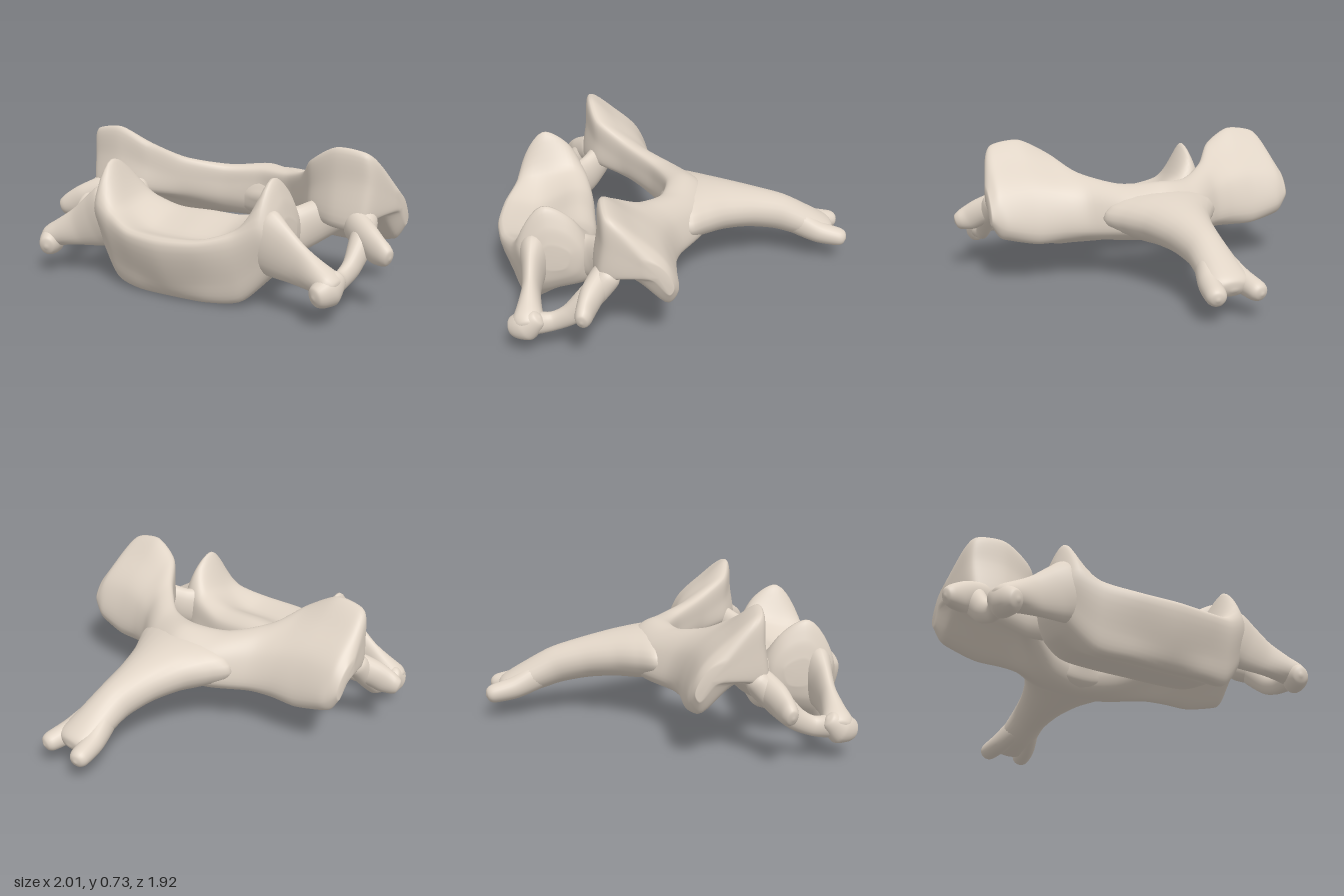
import * as THREE from 'three';

const material = new THREE.MeshStandardMaterial({ color: 0xdfd3c5 });
const V = (x, y, z) => new THREE.Vector3(x, y, z);

// Smooth closed skin through a row of rings, each an equal-length list of Vector3.
function loft(name, rings, around = 40, steps = 6) {
  const fine = rings.map((r) => {
    const c = new THREE.CatmullRomCurve3(r, true, 'centripetal');
    return Array.from({ length: around }, (_, i) => c.getPoint(i / around));
  });
  const rows = (rings.length - 1) * steps + 1;
  const pos = [];
  const columns = Array.from({ length: around }, (_, i) =>
    new THREE.CatmullRomCurve3(fine.map((r) => r[i]), false, 'catmullrom', 0.4));
  for (let j = 0; j < rows; j++) {
    for (const c of columns) pos.push(...c.getPoint(j / (rows - 1)).toArray());
  }
  const mean = (r) => r.reduce((a, p) => a.add(p), V(0, 0, 0)).divideScalar(r.length);
  pos.push(...mean(fine[0]).toArray(), ...mean(fine[fine.length - 1]).toArray());

  const idx = [];
  const first = rows * around, last = first + 1;
  for (let i = 0; i < around; i++) {
    const k = (i + 1) % around;
    for (let j = 0; j < rows - 1; j++) {
      const a = j * around + i, b = j * around + k;
      idx.push(a, b, a + around, b, b + around, a + around);
    }
    idx.push(first, k, i);
    idx.push(last, (rows - 1) * around + i, (rows - 1) * around + k);
  }
  // Turn the faces outward if the enclosed volume comes out negative
  const at = (i) => V(pos[3 * i], pos[3 * i + 1], pos[3 * i + 2]);
  let volume = 0;
  for (let i = 0; i < idx.length; i += 3) {
    volume += at(idx[i]).dot(at(idx[i + 1]).cross(at(idx[i + 2])));
  }
  if (volume < 0) idx.reverse();

  const g = new THREE.BufferGeometry();
  g.setAttribute('position', new THREE.Float32BufferAttribute(pos, 3));
  g.setIndex(idx);
  g.computeVertexNormals();
  const mesh = new THREE.Mesh(g, material);
  mesh.name = name;
  return mesh;
}

// Left-right symmetric solid from half its sections: [x, [z, y, z, y, ...]]
function symmetric(name, half) {
  const ring = (x, zy) => {
    const r = [];
    for (let i = 0; i < zy.length; i += 2) r.push(V(x, zy[i + 1], zy[i]));
    return r;
  };
  const sections = [...half.slice(1).reverse().map(([x, p]) => [-x, p]), ...half];
  const rings = sections.map(([x, p]) => ring(x, p));
  return loft(name, rings, 54);
}

// Round-ended bony rod through stations [x, y, z, half width, half height]
function rod(name, stations, side = 1) {
  const c = stations.map(([x, y, z]) => V(x * side, y, z));
  const n = c.length - 1;
  const ring = (i, scale, push) => {
    const d = c[Math.min(i + 1, n)].clone().sub(c[Math.max(i - 1, 0)]).normalize();
    const across = d.clone().cross(V(0, 1, 0)).normalize();
    const up = across.clone().cross(d);
    const [, , , w, h] = stations[i];
    return Array.from({ length: 12 }, (_, k) => {
      const a = (k / 12) * Math.PI * 2;
      return c[i].clone().addScaledVector(d, push * Math.min(w, h))
        .addScaledVector(across, w * scale * Math.cos(a))
        .addScaledVector(up, h * scale * Math.sin(a));
    });
  };
  const rings = [ring(0, 0.12, -0.9), ring(0, 0.7, -0.65)];
  for (let i = 0; i <= n; i++) rings.push(ring(i, 1, 0));
  rings.push(ring(n, 0.7, 0.65), ring(n, 0.12, 0.9));
  return loft(name, rings, 24);
}

export function createModel() {
  const model = new THREE.Group();
  model.name = 'vertebra';

  // Body: dished top, raised hooks at the sides, hollowed underside
  model.add(symmetric('vertebralBody', [
    [0, [0.84, 0.005, 0.91, 0.1, 0.955, 0.31, 0.75, 0.29, 0.53, 0.37, 0.45, 0.33, 0.435, 0.24, 0.45, 0.13, 0.65, 0.1]],
    [0.2, [0.84, 0.01, 0.89, 0.12, 0.93, 0.32, 0.74, 0.3, 0.53, 0.37, 0.45, 0.33, 0.435, 0.24, 0.45, 0.13, 0.65, 0.1]],
    [0.36, [0.8, 0.03, 0.85, 0.15, 0.87, 0.36, 0.72, 0.4, 0.54, 0.42, 0.47, 0.38, 0.45, 0.27, 0.46, 0.14, 0.64, 0.1]],
    [0.47, [0.76, 0.14, 0.81, 0.24, 0.84, 0.41, 0.71, 0.61, 0.58, 0.55, 0.5, 0.42, 0.48, 0.3, 0.5, 0.19, 0.64, 0.15]],
    [0.52, [0.74, 0.22, 0.79, 0.3, 0.8, 0.38, 0.7, 0.52, 0.6, 0.49, 0.53, 0.4, 0.52, 0.32, 0.55, 0.25, 0.64, 0.22]],
    [0.54, [0.7, 0.3, 0.73, 0.34, 0.73, 0.37, 0.69, 0.42, 0.63, 0.41, 0.59, 0.38, 0.59, 0.34, 0.61, 0.3, 0.65, 0.29]],
  ]));

  // Arch: laminae sweeping out into the slanted joint pillars
  model.add(symmetric('archAndJointPillars', [
    [0, [0.04, 0.5, 0.055, 0.42, 0.05, 0.3, 0, 0.23, -0.1, 0.22, -0.2, 0.32, -0.15, 0.46, -0.05, 0.52]],
    [0.2, [0.1, 0.5, 0.11, 0.41, 0.1, 0.32, 0.05, 0.25, -0.05, 0.22, -0.15, 0.29, -0.11, 0.42, 0, 0.5]],
    [0.38, [0.25, 0.555, 0.26, 0.45, 0.24, 0.36, 0.16, 0.29, 0.06, 0.22, 0, 0.27, 0.04, 0.43, 0.14, 0.53]],
    [0.5, [0.39, 0.65, 0.4, 0.52, 0.4, 0.39, 0.27, 0.34, 0.1, 0.21, 0.05, 0.27, 0.1, 0.46, 0.24, 0.58]],
    [0.65, [0.425, 0.73, 0.45, 0.57, 0.46, 0.36, 0.32, 0.37, 0.1, 0.21, 0.065, 0.27, 0.13, 0.48, 0.28, 0.62]],
    [0.8, [0.42, 0.715, 0.44, 0.57, 0.45, 0.35, 0.32, 0.39, 0.12, 0.24, 0.075, 0.3, 0.13, 0.47, 0.27, 0.61]],
    [0.85, [0.38, 0.66, 0.4, 0.55, 0.39, 0.41, 0.29, 0.4, 0.13, 0.26, 0.09, 0.32, 0.13, 0.46, 0.25, 0.58]],
    [0.895, [0.24, 0.5, 0.24, 0.47, 0.23, 0.43, 0.19, 0.4, 0.13, 0.33, 0.11, 0.36, 0.13, 0.42, 0.18, 0.48]],
  ]));

  // Rear spine with its forked tip
  model.add(rod('rearSpine', [
    [0, 0.35, -0.04, 0.33, 0.13],
    [0, 0.345, -0.14, 0.27, 0.135],
    [0, 0.335, -0.26, 0.195, 0.125],
    [0, 0.31, -0.42, 0.135, 0.11],
    [0, 0.27, -0.58, 0.105, 0.1],
    [0, 0.21, -0.72, 0.11, 0.085],
    [0, 0.165, -0.84, 0.115, 0.06],
  ]));

  for (const side of [1, -1]) {
    const prefix = side > 0 ? 'left' : 'right';
    const add = (name, stations) => model.add(rod(prefix + name, stations, side));

    add('SpineTip', [
      [0.05, 0.22, -0.68, 0.05, 0.07],
      [0.085, 0.165, -0.8, 0.055, 0.06],
      [0.108, 0.14, -0.91, 0.052, 0.05],
    ]);
    // Bridge from the body back to the joint pillar
    add('Pedicle', [
      [0.42, 0.31, 0.54, 0.06, 0.12],
      [0.49, 0.33, 0.46, 0.055, 0.11],
      [0.56, 0.37, 0.4, 0.06, 0.1],
      [0.66, 0.42, 0.34, 0.06, 0.08],
    ]);
    // Ring of bone around the side opening
    add('FrontBar', [
      [0.46, 0.33, 0.75, 0.08, 0.16],
      [0.55, 0.29, 0.765, 0.055, 0.135],
      [0.65, 0.25, 0.775, 0.045, 0.1],
      [0.75, 0.215, 0.785, 0.06, 0.075],
      [0.82, 0.19, 0.79, 0.075, 0.06],
    ]);
    add('FrontTubercle', [
      [0.835, 0.2, 0.76, 0.045, 0.055],
      [0.82, 0.165, 0.8, 0.06, 0.075],
      [0.805, 0.155, 0.84, 0.055, 0.065],
    ]);
    add('OuterBar', [
      [0.825, 0.18, 0.78, 0.05, 0.06],
      [0.815, 0.175, 0.68, 0.035, 0.05],
      [0.825, 0.215, 0.59, 0.04, 0.055],
      [0.825, 0.3, 0.5, 0.055, 0.065],
      [0.81, 0.39, 0.41, 0.055, 0.06],
    ]);
    add('RearTubercle', [
      [0.77, 0.37, 0.43, 0.06, 0.08],
      [0.86, 0.33, 0.49, 0.055, 0.075],
      [0.92, 0.295, 0.52, 0.045, 0.07],
      [0.965, 0.28, 0.535, 0.04, 0.055],
    ]);
  }
  return model;
}
